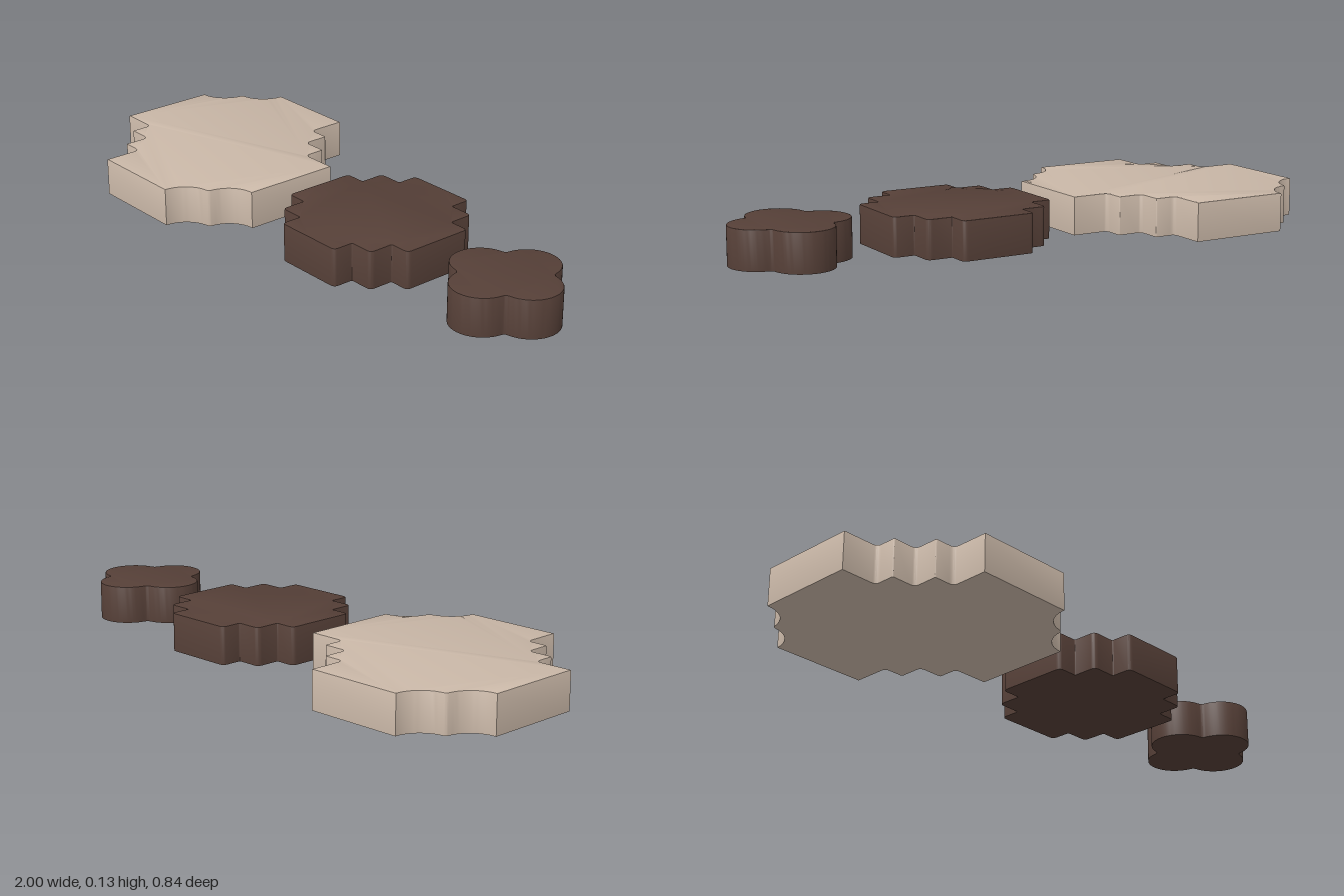
import * as THREE from 'three';
import { toCreasedNormals } from 'three/addons/utils/BufferGeometryUtils.js';

const HEIGHT = 0.13, BEVEL = 0.004;
const V = (x, y) => new THREE.Vector2(x, y);

// Replace a sharp corner b by a small curve running from a to c
const fillet = (a, b, c) => new THREE.QuadraticBezierCurve(a, b, c).getPoints(5);

// One quadrant of a stepped cross, from (0.288, 0) to (0, 0.288)
function steppedQuarter() {
  const a = 0.288, b = 0.215, c = 0.128;
  const corners = [V(a, 0), V(a, c), V(b, c), V(b, b), V(c, b), V(c, a), V(0, a)];
  const points = [corners[0]];
  for (let i = 1; i < 6; i++) {
    const p = corners[i], r = i % 2 ? 0.018 : 0.006;
    const toward = (q) => p.clone().add(q.clone().sub(p).setLength(r));
    points.push(...fillet(toward(corners[i - 1]), p, toward(corners[i + 1])));
  }
  return [...points, corners[6]];
}

// One quadrant of a four-lobed flower, with a soft valley between lobes
function lobedQuarter() {
  const r = 0.101, n = 14, sweep = Math.PI * 0.45;
  const first = [];
  for (let i = 0; i <= n; i++) {
    const t = sweep * i / n;
    first.push(V(r + r * Math.cos(t), r * Math.sin(t)));
  }
  const second = first.map((p) => V(p.y, p.x)).reverse();
  const valley = fillet(first[n], V(r, r), second[0]).slice(1, -1);
  return [...first, ...valley, ...second];
}

const turn = (p, quarters) => p.clone().rotateAround(V(0, 0), quarters * Math.PI / 2);

// Whole outline from four turned quadrants
function pieceOutline(quarter) {
  return [0, 1, 2, 3].flatMap((k) => quarter.slice(1).map((p) => turn(p, k)));
}

// Square whose corners are cut away by alternating quadrants
function tileOutline(half, notches) {
  return [0, 1, 2, 3].flatMap((k) =>
    notches[k % 2].map((p) => turn(V(half - p.x * 1.01, half - p.y * 1.01), -k)));
}

// Slab with a fine bevel on the top edge and a flat, sharp underside
function slab(name, outline, material, x) {
  const geometry = new THREE.ExtrudeGeometry(new THREE.Shape(outline), {
    depth: HEIGHT - BEVEL, bevelThickness: BEVEL, bevelSize: BEVEL,
    bevelOffset: -BEVEL, bevelSegments: 2,
  });
  const pos = geometry.attributes.position;
  for (let i = 0; i < pos.count; i++) pos.setZ(i, Math.max(0, pos.getZ(i)));
  geometry.rotateX(-Math.PI / 2);
  const mesh = new THREE.Mesh(toCreasedNormals(geometry, 0.6), material);
  mesh.name = name;
  mesh.position.x = x;
  return mesh;
}

export function createModel() {
  const beige = new THREE.MeshStandardMaterial({ color: 0xc8b6a6 });
  beige.name = 'beige';
  const brown = new THREE.MeshStandardMaterial({ color: 0x553f37 });
  brown.name = 'darkBrown';

  const stepped = steppedQuarter(), lobed = lobedQuarter();
  const group = new THREE.Group();
  group.name = 'interlockingTiles';
  group.add(
    slab('notchedTile', tileOutline(0.418, [stepped, lobed]), beige, -0.582),
    slab('steppedCrossTile', pieceOutline(stepped), brown, 0.215),
    slab('fourLobedTile', pieceOutline(lobed), brown, 0.798),
  );
  return group;
}
